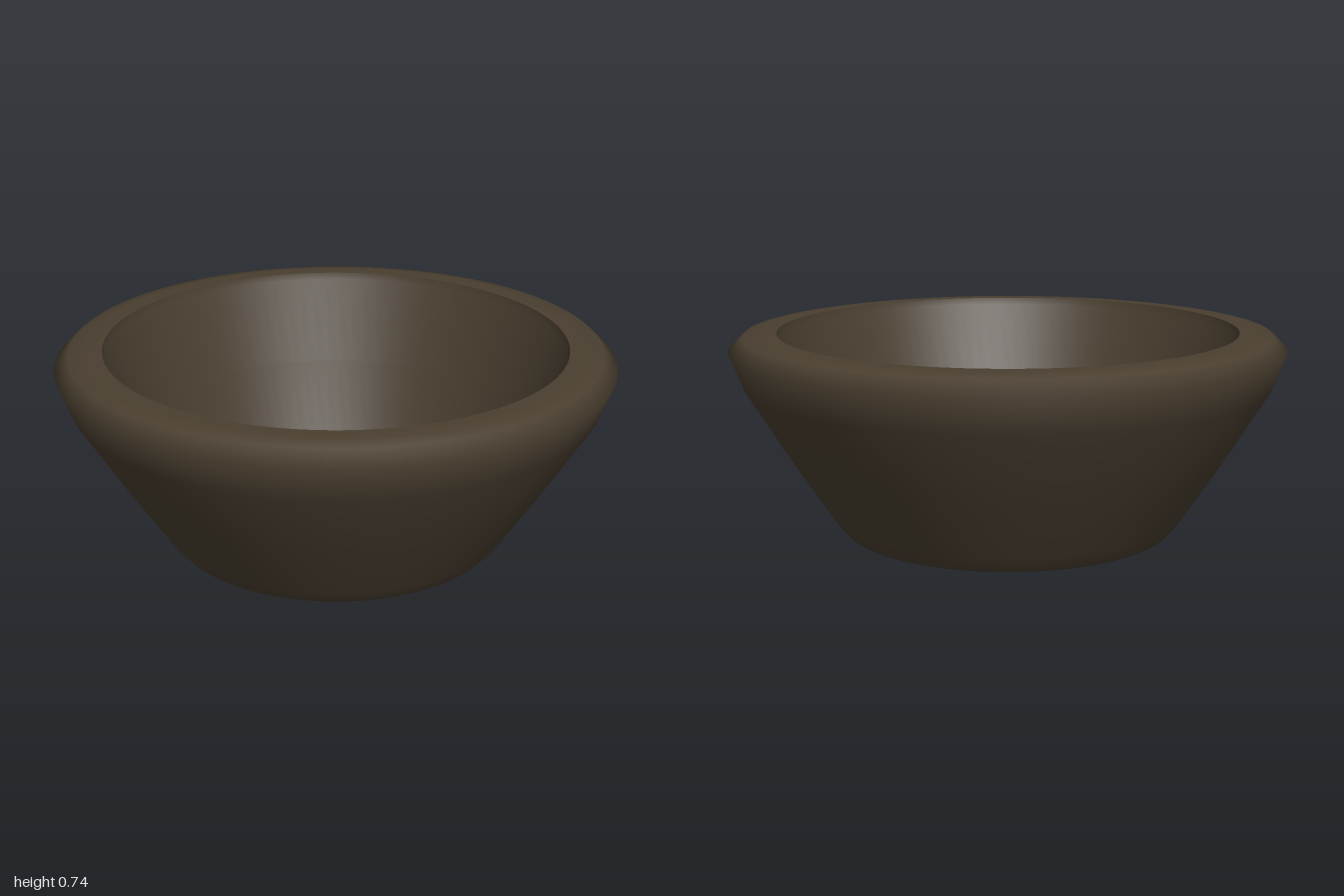
import * as THREE from 'three';

export function createModel() {
  const group = new THREE.Group();
  group.name = 'bowl';
  const material = new THREE.MeshStandardMaterial({ color: 0x4a3f30 });

  // Each profile is a list of [radius, height], turned around the y axis
  const turn = (name, profile) => {
    const points = profile.map(([r, y]) => new THREE.Vector2(r, y));
    const mesh = new THREE.Mesh(new THREE.LatheGeometry(points, 96), material);
    mesh.name = name;
    group.add(mesh);
  };

  // Flat underside
  turn('base', [[0, 0], [0.58, 0]]);

  // Flared outer wall with the thick rolled rim
  turn('outerWallAndRim', [
    [0.58, 0], [0.6, 0.01], [0.645, 0.065], [0.8, 0.305], [0.95, 0.55],
    [1, 0.68], [0.95, 0.728], [0.89, 0.738], [0.83, 0.738],
  ]);

  // Hollow: steep inner wall running into a flat floor
  turn('innerWallAndFloor', [
    [0.83, 0.738], [0.825, 0.71], [0.72, 0.4], [0.615, 0.1],
    [0.595, 0.075], [0.55, 0.065], [0, 0.065],
  ]);

  return group;
}
